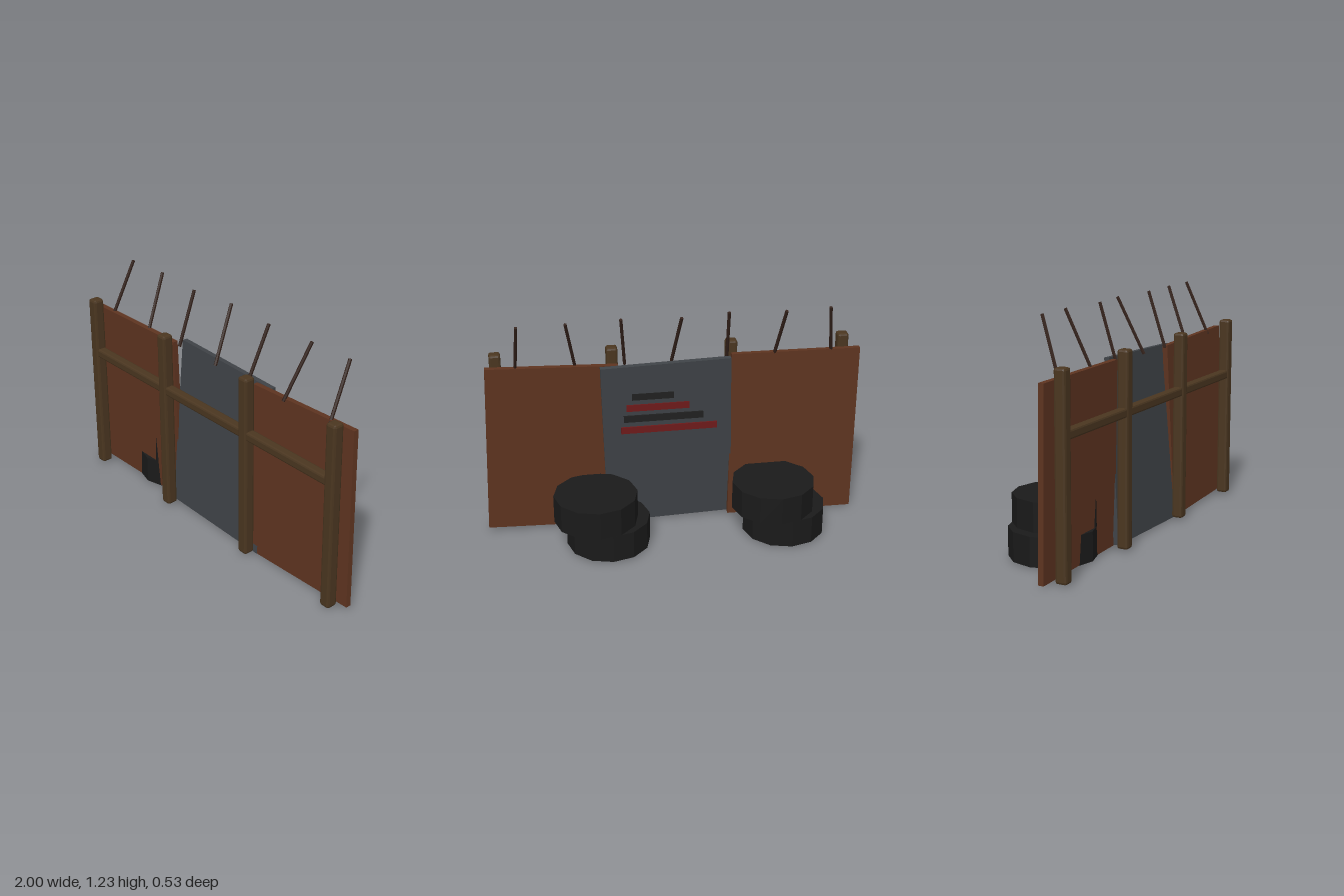
import * as THREE from 'three';
import { RoundedBoxGeometry } from 'three/addons/geometries/RoundedBoxGeometry.js';

const paint = (color) => new THREE.MeshStandardMaterial({ color, flatShading: true });

export function createModel() {
  const group = new THREE.Group();
  const wood = paint(0x4a3620);
  const rust = paint(0x5e3420);
  const steel = paint(0x3f4347);
  const rubber = paint(0x1a1a1a);
  const red = paint(0x6e1a1a);
  const black = paint(0x202020);
  const rod = paint(0x33211a);

  const add = (name, geometry, material, x, y, z) => {
    const mesh = new THREE.Mesh(geometry, material);
    mesh.name = name;
    mesh.position.set(x, y, z);
    group.add(mesh);
    return mesh;
  };

  // Timber frame: chamfered posts joined by one rail
  for (const x of [-0.92, -0.32, 0.31, 0.91]) {
    add('post', new RoundedBoxGeometry(0.06, 1.0, 0.06, 1, 0.012), wood, x, 0.52, 0.232);
  }
  add('rail', new RoundedBoxGeometry(1.83, 0.048, 0.05, 1, 0.01), wood, -0.005, 0.711, 0.232);

  // Crooked sheet panels: x, y, z, width, lean, roll
  const panels = [
    ['rightPanel', rust, -0.65, 0.49, 0.162, 0.69, 0.02, 0.011],
    ['middlePanel', steel, 0.03, 0.489, 0.153, 0.68, -0.07, -0.026],
    ['leftPanel', rust, 0.643, 0.493, 0.168, 0.68, -0.035, 0.036],
  ];
  for (const [name, material, x, y, z, width, lean, roll] of panels) {
    const panel = add(name, new THREE.BoxGeometry(width, 0.94, 0.028), material, x, y, z);
    panel.rotation.set(lean, 0, roll);
  }

  // Stepped stripes on the back of the middle panel
  const stripes = [[0.025, 0.585, 0.51, red], [0.055, 0.65, 0.42, black],
    [0.085, 0.712, 0.33, red], [0.11, 0.775, 0.22, black]];
  for (const [x, y, length, material] of stripes) {
    add('stripe', new THREE.BoxGeometry(length, 0.037, 0.008), material, x, y, 0.12);
  }

  // Two offset stacks of twelve-sided tyres
  const tyre = new THREE.CylinderGeometry(0.22, 0.22, 0.15, 12);
  for (const x of [-0.57, 0.375]) {
    add('lowerTyre', tyre, rubber, x, 0.093, -0.03);
    add('upperTyre', tyre, rubber, x + 0.065, 0.243, -0.047);
  }

  // Thin spikes leaning back over the top: base x, base z, tip x, tip z
  const spikes = [
    [-0.845, 0.17, -0.8, 0.06], [-0.538, 0.17, -0.567, 0.045],
    [-0.285, 0.165, -0.275, 0.07], [0.006, 0.17, -0.026, 0.035],
    [0.25, 0.17, 0.277, 0.06], [0.505, 0.17, 0.556, 0.042], [0.811, 0.165, 0.798, 0.035],
  ];
  const up = new THREE.Vector3(0, 1, 0);
  for (const [x0, z0, x1, z1] of spikes) {
    const base = new THREE.Vector3(x0, 0.945, z0);
    const tip = new THREE.Vector3(x1, 1.232, z1);
    const along = tip.clone().sub(base);
    const mid = base.clone().lerp(tip, 0.5);
    const spike = add('spike', new THREE.CylinderGeometry(0.009, 0.009, along.length(), 6),
      rod, mid.x, mid.y, mid.z);
    spike.quaternion.setFromUnitVectors(up, along.normalize());
  }

  return group;
}
